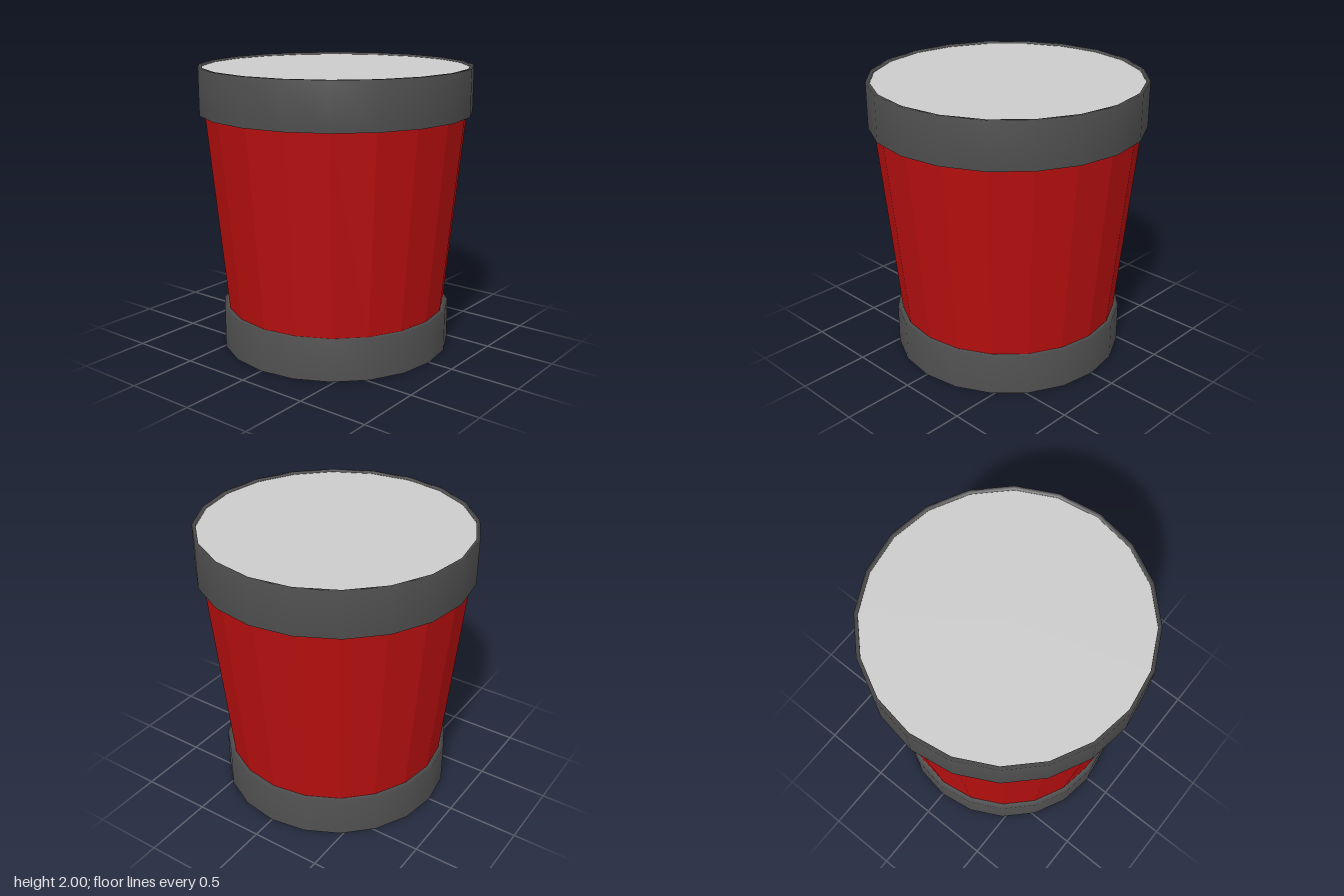
import * as THREE from 'three';

const SIDES = 20;

// Revolve a profile of [radius, height] pairs, listed from bottom to top
function revolve(name, profile, color, flatShading = false) {
  const points = profile.map(([r, y]) => new THREE.Vector2(r, y));
  const material = new THREE.MeshStandardMaterial({ color, flatShading, side: THREE.DoubleSide });
  const mesh = new THREE.Mesh(new THREE.LatheGeometry(points, SIDES), material);
  mesh.name = name;
  return mesh;
}

export function createModel() {
  const group = new THREE.Group();
  group.name = 'drum';
  const dark = 0x505050;

  // Open bottom hoop with a narrow ledge reaching in to the shell
  group.add(revolve('bottomHoop', [[0.82, 0], [0.82, 0.29], [0.783, 0.29]], dark));

  // Faceted, tapering hollow shell
  group.add(revolve('shell', [[0.783, 0.29], [0.915, 1.68]], 0xb80f0f, true));

  // Top hoop with an underside ledge and a thin rim around the skin
  group.add(revolve('topHoop',
    [[0.915, 1.68], [0.953, 1.68], [0.953, 2], [0.928, 2], [0.928, 1.985]], dark));

  // Drum skin, set just below the rim
  const skin = new THREE.Mesh(
    new THREE.CircleGeometry(0.928, SIDES),
    new THREE.MeshStandardMaterial({ color: 0xcccccc, side: THREE.DoubleSide })
  );
  skin.name = 'drumSkin';
  skin.rotation.x = -Math.PI / 2;
  skin.position.y = 1.985;
  group.add(skin);

  return group;
}
